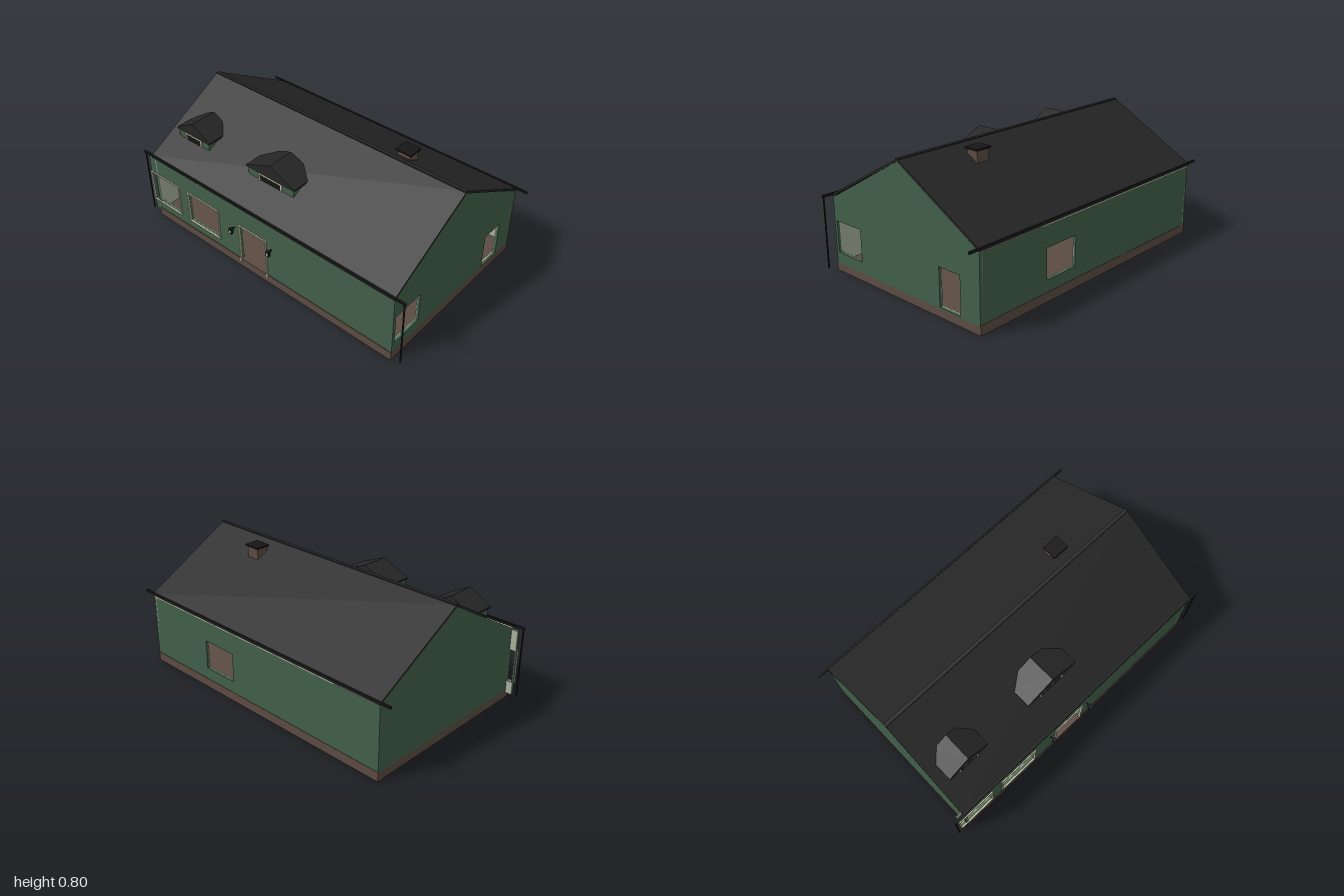
import * as THREE from 'three';

const mat = (name, color) => {
  const m = new THREE.MeshStandardMaterial({ color });
  m.name = name;
  return m;
};

export function createModel() {
  const house = new THREE.Group();
  house.name = 'house';
  const green = mat('green siding', 0x426049);
  const lining = mat('pale interior', 0xa9b29e);
  const slate = mat('dark roof', 0x262626);
  const black = mat('black metal', 0x161616);
  const brown = mat('brown masonry', 0x5c4c42);
  const cream = mat('cream trim', 0xd3cab2);

  const add = (name, geo, material, parent = house) => {
    const mesh = new THREE.Mesh(geo, material);
    mesh.name = name;
    parent.add(mesh);
    return mesh;
  };
  // Box given by its limits on each axis
  const box = (name, x0, x1, y0, y1, z0, z1, material, parent) => {
    const mesh = add(name, new THREE.BoxGeometry(x1 - x0, y1 - y0, z1 - z0), material, parent);
    mesh.position.set((x0 + x1) / 2, (y0 + y1) / 2, (z0 + z1) / 2);
    return mesh;
  };
  // Flat outline with rectangular openings [x0, x1, y0, y1], given thickness
  const panel = (points, holes, depth) => {
    const shape = new THREE.Shape(points.map(p => new THREE.Vector2(...p)));
    for (const [a, b, c, d] of holes) {
      shape.holes.push(new THREE.Path([[a, c], [a, d], [b, d], [b, c]].map(p => new THREE.Vector2(...p))));
    }
    return new THREE.ExtrudeGeometry(shape, { depth, bevelEnabled: false });
  };
  const rect = (x0, x1, y0, y1) => [[x0, y0], [x1, y0], [x1, y1], [x0, y1]];
  // Turns a profile drawn in (z, y) so that its depth runs towards -x
  const sideways = geo => geo.rotateY(-Math.PI / 2);

  // Foundation and floor
  box('foundation', -0.93, 0.93, 0, 0.057, -0.6, 0.572, brown);

  // Front wall, longer at the right-hand corner, with two windows and a doorway
  const windows = [[-0.965, -0.72, 0.115, 0.322], [-0.63, -0.372, 0.115, 0.322]];
  const doorway = [-0.19, 0.018, 0.05, 0.31];
  const frontHoles = [...windows, doorway];
  add('frontWall', panel(rect(-0.97, 0.915, 0.035, 0.45), frontHoles, 0.015), green).position.z = 0.553;
  add('frontLining', panel(rect(-0.97, 0.91, 0.035, 0.45), frontHoles, 0.005), lining).position.z = 0.548;

  // Back wall with one window
  const backHoles = [[0.19, 0.43, 0.13, 0.315]];
  add('backWall', panel(rect(-0.915, 0.915, 0.05, 0.45), backHoles, 0.015), green).position.z = -0.598;
  add('backLining', panel(rect(-0.915, 0.915, 0.05, 0.45), backHoles, 0.005), lining).position.z = -0.583;

  // Gabled end walls
  const gable = [[0.568, 0.05], [0.568, 0.45], [-0.015, 0.783], [-0.598, 0.45], [-0.598, 0.05]];
  const sideHoles = [[0.335, 0.547, 0.118, 0.312], [-0.458, -0.305, 0.058, 0.286]];
  add('leftWall', sideways(panel(gable, sideHoles, 0.015)), green).position.x = 0.93;
  add('leftLining', sideways(panel(gable, sideHoles, 0.005)), lining).position.x = 0.915;
  add('rightWall', sideways(panel(gable, [], 0.015)), green).position.x = -0.915;
  add('rightLining', sideways(panel(gable, [], 0.005)), lining).position.x = -0.91;

  // Roof
  const roof = [[0.575, 0.452], [0.575, 0.466], [-0.015, 0.797], [-0.603, 0.466],
    [-0.603, 0.452], [-0.015, 0.782]];
  add('roof', sideways(panel(roof, [], 1.866)), slate).position.x = 0.933;
  box('ridgeCap', -0.933, 0.933, 0.789, 0.798, -0.026, -0.004, slate);

  // Eaves, gutters and downpipes
  box('frontFascia', -0.93, 0.93, 0.447, 0.463, 0.565, 0.571, cream);
  box('backFascia', -0.93, 0.93, 0.447, 0.463, -0.602, -0.596, cream);
  box('frontGutter', -1, 1, 0.462, 0.475, 0.566, 0.578, black);
  box('backGutter', -1, 1, 0.462, 0.475, -0.606, -0.594, black);
  for (const s of [-1, 1]) {
    const pipe = add('downpipe', new THREE.CylinderGeometry(0.005, 0.005, 0.435, 8), black);
    pipe.position.set(s * 0.992, 0.2475, 0.571);
  }

  // Trim around the front openings
  const frame = (name, [a, b, c, d], w, z, open) => {
    const g = new THREE.Group();
    g.name = name;
    box('leftJamb', b, b + w, c, d + w, z, z + 0.008, cream, g);
    box('rightJamb', a - w, a, c, d + w, z, z + 0.008, cream, g);
    box('head', a, b, d, d + w, z, z + 0.008, cream, g);
    if (!open) box('sill', a - w, b + w, c - w, c, z, z + 0.008, cream, g);
    house.add(g);
  };
  windows.forEach(w => frame('windowFrame', w, 0.008, 0.567));
  frame('doorFrame', [-0.19, 0.018, 0.035, 0.31], 0.008, 0.567, true);

  // Dormers: [centre x, half wall width, half window width]
  for (const [x, hw, win] of [[-0.723, 0.13, 0.064], [-0.085, 0.175, 0.085]]) {
    const dormer = new THREE.Group();
    dormer.name = 'dormer';
    dormer.position.x = x;
    box('dormerWall', -hw, hw, 0.55, 0.618, 0.26, 0.4, green, dormer);
    box('dormerGlass', -win, win, 0.557, 0.605, 0.399, 0.402, black, dormer);
    for (const s of [-1, 1]) {
      box('dormerJamb', s * win - 0.005, s * win + 0.005, 0.555, 0.612, 0.399, 0.406, cream, dormer);
    }
    box('dormerHead', -win, win, 0.604, 0.612, 0.399, 0.406, cream, dormer);
    const top = [[-hw - 0.012, 0.613], [hw + 0.012, 0.613], [hw + 0.012, 0.624],
      [0, 0.701], [-hw - 0.012, 0.624]];
    add('dormerRoof', panel(top, [], 0.18), slate, dormer).position.z = 0.225;
    house.add(dormer);
  }

  // Chimney
  box('chimney', 0.425, 0.513, 0.66, 0.78, -0.173, -0.095, brown);
  box('chimneyCap', 0.415, 0.523, 0.777, 0.788, -0.182, -0.088, black);

  // Wall lamps beside the door
  for (const x of [-0.235, 0.065]) {
    const lamp = new THREE.Group();
    lamp.name = 'wallLamp';
    lamp.position.x = x;
    box('lampArm', -0.004, 0.004, 0.272, 0.278, 0.566, 0.59, black, lamp);
    box('lampBody', -0.011, 0.011, 0.248, 0.285, 0.587, 0.605, black, lamp);
    box('lampGlass', -0.006, 0.006, 0.255, 0.273, 0.604, 0.607, cream, lamp);
    house.add(lamp);
  }
  return house;
}
